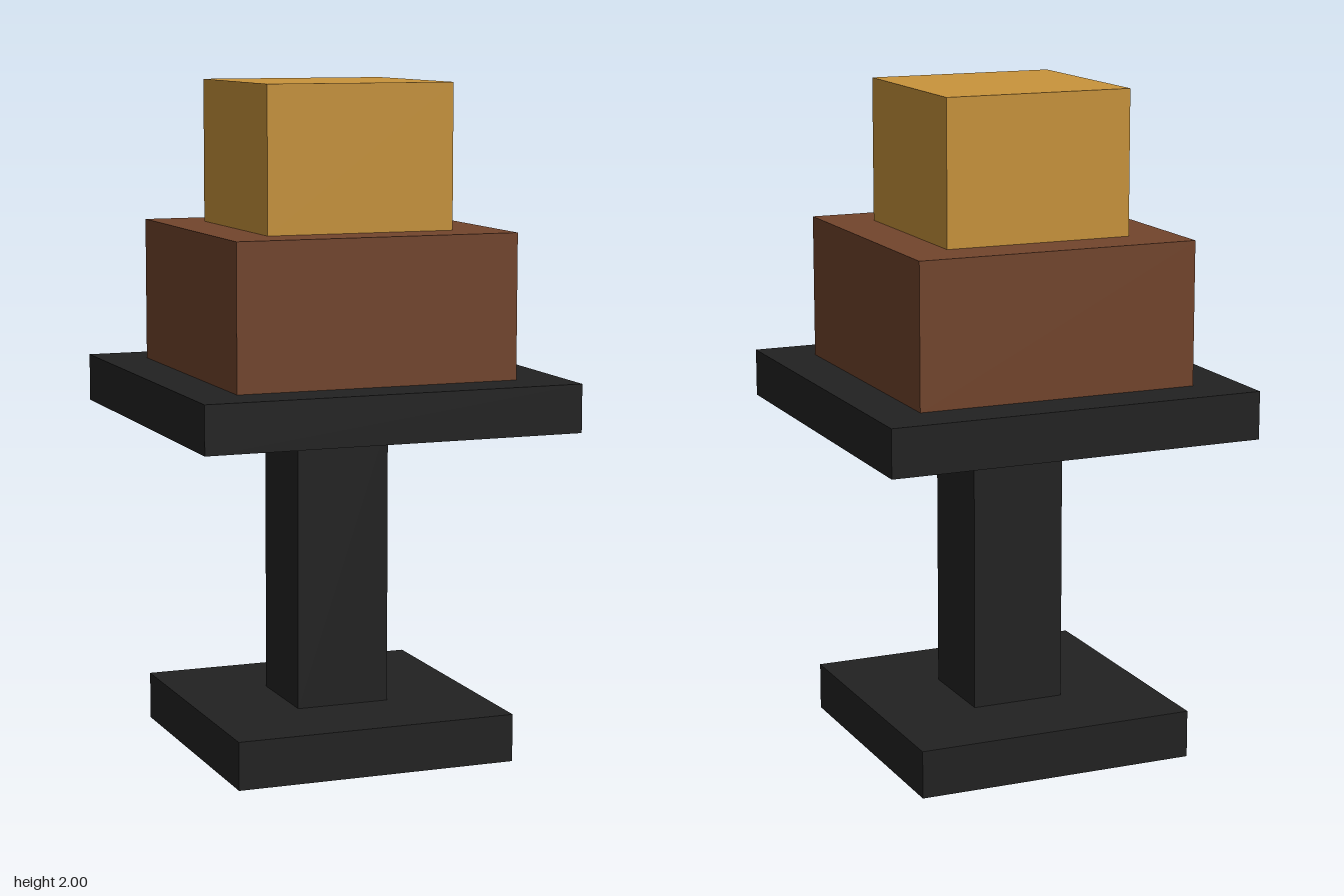
import * as THREE from 'three';

const U = 1 / 7; // grid unit: the whole stand is 14 units tall

function material(name, color) {
  const m = new THREE.MeshStandardMaterial({ color });
  m.name = name;
  return m;
}

export function createModel() {
  const black = material('black', 0x222222);
  const brown = material('brown', 0x73452c);
  const gold = material('gold', 0xc9943b);

  const group = new THREE.Group();
  group.name = 'tieredCakeStand';

  // Square tiers stacked from the ground up: name, width, height, material
  const tiers = [
    ['standBase', 6, 1, black],
    ['standStem', 2, 6, black],
    ['standPlate', 8, 1, black],
    ['lowerTier', 6, 3, brown],
    ['upperTier', 4, 3, gold],
  ];

  let y = 0;
  for (const [name, width, height, mat] of tiers) {
    const mesh = new THREE.Mesh(new THREE.BoxGeometry(width * U, height * U, width * U), mat);
    mesh.name = name;
    mesh.position.y = (y + height / 2) * U;
    group.add(mesh);
    y += height;
  }
  return group;
}
